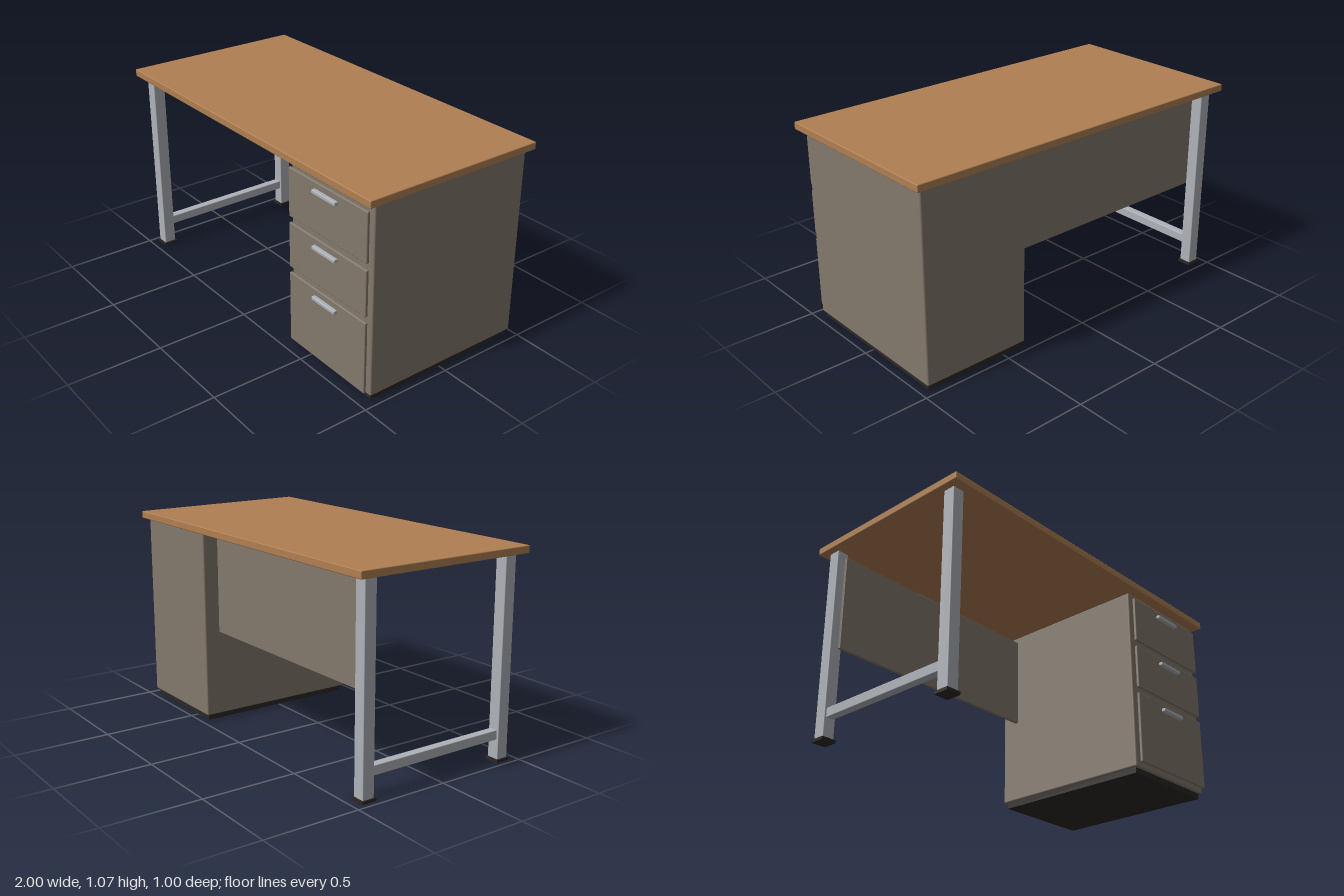
import * as THREE from 'three';
import { RoundedBoxGeometry } from 'three/addons/geometries/RoundedBoxGeometry.js';

const material = (color) => new THREE.MeshStandardMaterial({ color });

export function createModel() {
  const desk = new THREE.Group();
  desk.name = 'desk';
  const wood = material(0xb07f52);
  const panel = material(0x82786c);
  const metal = material(0xaeb2b8);
  const dark = material(0x2b2724);

  // Box given by its extents on each axis, with softly rounded edges
  function box(name, mat, [x0, x1], [y0, y1], [z0, z1], radius = 0.004) {
    const size = [x1 - x0, y1 - y0, z1 - z0];
    const geometry = radius > 0
      ? new RoundedBoxGeometry(...size, 2, radius)
      : new THREE.BoxGeometry(...size);
    const mesh = new THREE.Mesh(geometry, mat);
    mesh.name = name;
    mesh.position.set((x0 + x1) / 2, (y0 + y1) / 2, (z0 + z1) / 2);
    desk.add(mesh);
    return mesh;
  }

  // Worktop
  box('worktop', wood, [-1, 1], [1.033, 1.072], [-0.5, 0.5], 0.005);

  // Drawer cabinet on its recessed plinth
  box('cabinet', panel, [0.37, 0.967], [0.03, 1.031], [-0.47, 0.445], 0.008);
  box('plinth', dark, [0.385, 0.953], [0, 0.033], [-0.455, 0.43], 0);

  // Drawer fronts: bottom, top and handle height
  const drawers = [
    [0.051, 0.435, 0.394],
    [0.466, 0.707, 0.666],
    [0.739, 0.994, 0.953],
  ];
  for (const [bottom, top, handleY] of drawers) {
    box('drawerFront', panel, [0.385, 0.953], [bottom, top], [0.459, 0.475], 0.005);
    box('drawerHandle', metal, [0.584, 0.754], [handleY - 0.01, handleY + 0.01], [0.473, 0.496], 0.005);
  }

  // Modesty panel between the back leg and the cabinet
  box('modestyPanel', panel, [-0.92, 0.372], [0.488, 1], [-0.385, -0.367], 0.003);

  // Square legs with foot plates, front and back
  const legX = -0.932, legZ = 0.417, half = 0.0325, foot = 0.04;
  for (const z of [legZ, -legZ]) {
    box('leg', metal, [legX - half, legX + half], [0.008, 1.033], [z - half, z + half], 0.004);
    box('footPlate', dark, [legX - foot, legX + foot], [0, 0.015], [z - foot, z + foot], 0);
  }

  // Low rail joining the legs
  box('legRail', metal, [legX - 0.022, legX + 0.022], [0.115, 0.165], [-legZ + 0.03, legZ - 0.03], 0.004);

  return desk;
}
